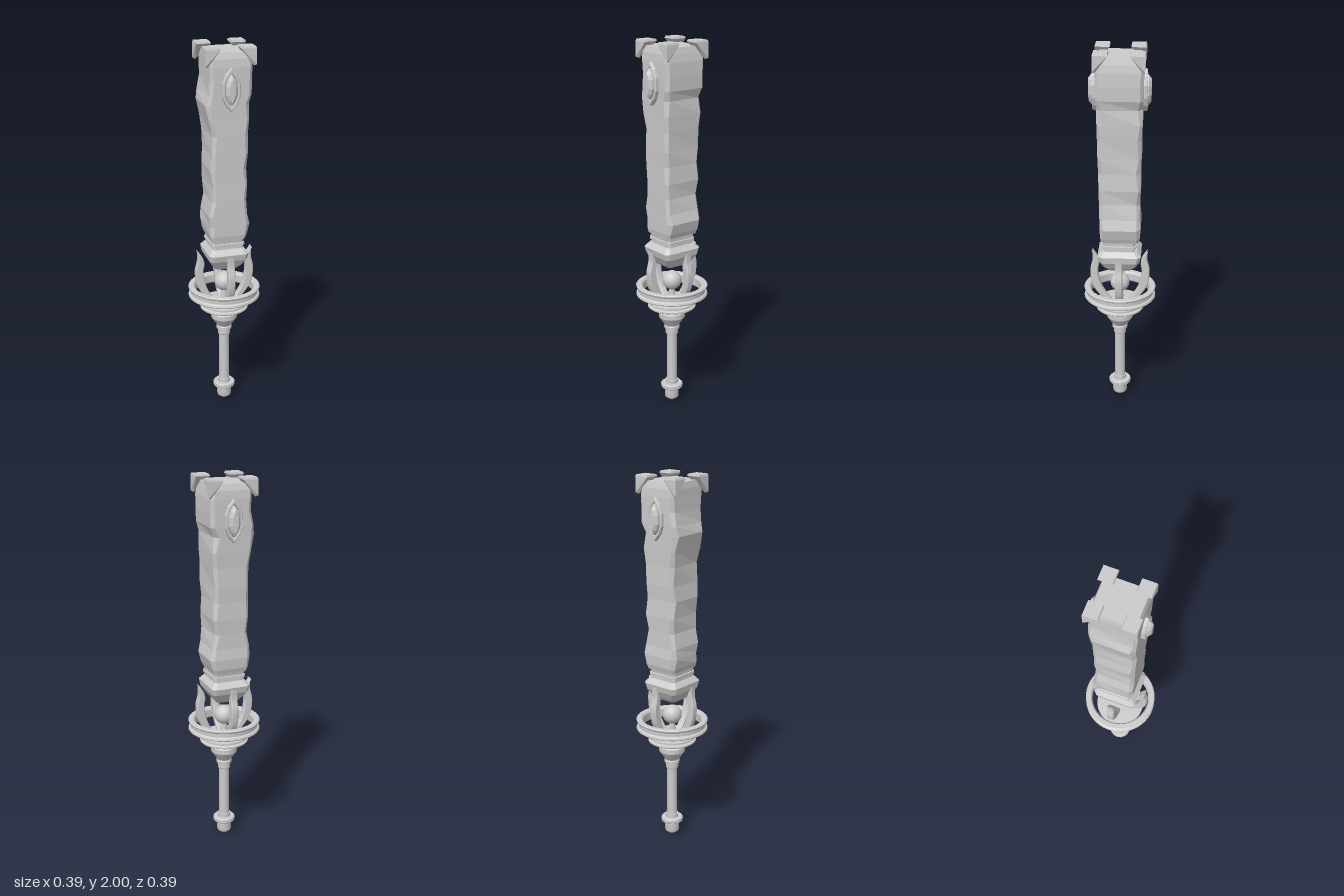
import * as THREE from 'three';
import { toCreasedNormals } from 'three/addons/utils/BufferGeometryUtils.js';
import { ConvexGeometry } from 'three/addons/geometries/ConvexGeometry.js';

const smooth = new THREE.MeshStandardMaterial({ color: 0xcccccc });
const flat = new THREE.MeshStandardMaterial({ color: 0xcccccc, flatShading: true });

function add(parent, name, geometry, material = flat) {
  const mesh = new THREE.Mesh(geometry, material);
  mesh.name = name;
  parent.add(mesh);
  return mesh;
}

// Turned part from [radius, y] pairs, listed from bottom to top
function turned(profile, sides = 32) {
  const points = profile.map(([r, y]) => new THREE.Vector2(r, y));
  return toCreasedNormals(new THREE.LatheGeometry(points, sides), 0.5);
}

// Chamfered rectangle at height y; each corner is [x, z], in order ++, -+, --, +-
function section(y, corners, c) {
  const [a, b, d, e] = corners;
  return [
    [a[0], y, a[1] - c], [a[0] - c, y, a[1]],
    [b[0] + c, y, b[1]], [b[0], y, b[1] - c],
    [d[0], y, d[1] + c], [d[0] + c, y, d[1]],
    [e[0] - c, y, e[1]], [e[0], y, e[1] + c],
  ];
}

const rect = (y, hx, hz, c) => section(y, [[hx, hz], [-hx, hz], [-hx, -hz], [hx, -hz]], c);

// Solid skin over a stack of cross-sections, capped at both ends
function loft(sections) {
  const pos = [];
  const tri = (...pts) => pts.forEach(p => pos.push(...p));
  const n = sections[0].length;
  for (let i = 0; i < sections.length - 1; i++) {
    const lo = sections[i], hi = sections[i + 1];
    for (let j = 0; j < n; j++) {
      const k = (j + 1) % n;
      tri(lo[j], hi[j], hi[k]);
      tri(lo[j], hi[k], lo[k]);
    }
  }
  const bottom = sections[0], top = sections[sections.length - 1];
  for (let j = 1; j < n - 1; j++) {
    tri(bottom[0], bottom[j], bottom[j + 1]);
    tri(top[0], top[j + 1], top[j]);
  }
  const g = new THREE.BufferGeometry();
  g.setAttribute('position', new THREE.Float32BufferAttribute(pos, 3));
  g.computeVertexNormals();
  return g;
}

// Pointed almond outline
function almond(w, h) {
  const pts = [[0, h], [-w * 0.65, h * 0.68], [-w, h * 0.3], [-w, -h * 0.3], [-w * 0.65, -h * 0.68],
    [0, -h], [w * 0.65, -h * 0.68], [w, -h * 0.3], [w, h * 0.3], [w * 0.65, h * 0.68]];
  return new THREE.Shape(pts.map(p => new THREE.Vector2(...p)));
}

export function createModel() {
  const model = new THREE.Group();
  model.name = 'weapon';

  // Handle with pommel, collars and flared neck
  add(model, 'pommel', turned([[0, 0], [0.015, 0.002], [0.036, 0.018], [0.039, 0.025], [0.039, 0.08]], 16), smooth);
  add(model, 'pommelCollar', turned([[0, 0.078], [0.055, 0.078], [0.06, 0.083], [0.06, 0.1], [0.055, 0.105],
    [0.034, 0.105], [0.034, 0.126], [0, 0.128]], 16), smooth);
  add(model, 'grip', turned([[0.028, 0.12], [0.028, 0.4], [0.034, 0.405], [0.034, 0.44]], 16), smooth);
  add(model, 'neck', turned([[0, 0.435], [0.042, 0.436], [0.042, 0.45], [0.038, 0.455], [0.072, 0.505],
    [0.072, 0.53], [0.05, 0.56], [0.05, 0.572]], 16), smooth);

  // Grooved disc and floating ring
  add(model, 'guardDisc', turned([[0, 0.564], [0.125, 0.564], [0.13, 0.568], [0.13, 0.575], [0.116, 0.58],
    [0.116, 0.588], [0.13, 0.591], [0.13, 0.597], [0.1, 0.6], [0, 0.602]], 40), smooth);
  add(model, 'guardRing', turned([[0.165, 0.636], [0.19, 0.636], [0.193, 0.641], [0.19, 0.65], [0.181, 0.656],
    [0.181, 0.676], [0.19, 0.682], [0.193, 0.69], [0.188, 0.695], [0.165, 0.695], [0.157, 0.685],
    [0.157, 0.646], [0.165, 0.636]], 48), smooth);

  // Orb held between four curved prongs
  add(model, 'orb', new THREE.SphereGeometry(0.052, 24, 16), smooth).position.y = 0.715;
  add(model, 'orbStem', new THREE.CylinderGeometry(0.014, 0.022, 0.08, 12), smooth).position.y = 0.635;

  const prong = new THREE.Shape();
  prong.moveTo(0.03, 0.59);
  prong.lineTo(0.06, 0.59);
  prong.splineThru([[0.115, 0.645], [0.15, 0.705], [0.16, 0.785], [0.147, 0.85], [0.148, 0.907]]
    .map(p => new THREE.Vector2(...p)));
  prong.splineThru([[0.122, 0.868], [0.112, 0.83], [0.118, 0.78], [0.105, 0.71], [0.08, 0.655], [0.03, 0.59]]
    .map(p => new THREE.Vector2(...p)));
  const prongGeo = new THREE.ExtrudeGeometry(prong, {
    depth: 0.026, curveSegments: 12, bevelThickness: 0.006, bevelSize: 0.005, bevelOffset: -0.005, bevelSegments: 1,
  });
  prongGeo.translate(0, 0, -0.013);
  for (let i = 0; i < 4; i++) {
    add(model, 'prong' + (i + 1), prongGeo).rotation.y = i * Math.PI / 2;
  }

  // Square socket and stepped collar under the blade
  add(model, 'socket', loft([
    rect(0.812, 0.062, 0.065, 0.015), rect(0.83, 0.078, 0.082, 0.015), rect(0.87, 0.102, 0.106, 0.018),
    rect(0.905, 0.107, 0.115, 0.018), rect(0.932, 0.086, 0.092, 0.015),
  ]));
  add(model, 'collar', loft([
    rect(0.93, 0.083, 0.083, 0.012), rect(0.945, 0.083, 0.083, 0.012), rect(0.947, 0.089, 0.089, 0.012),
    rect(0.962, 0.089, 0.089, 0.012), rect(0.964, 0.084, 0.084, 0.012), rect(0.995, 0.086, 0.09, 0.012),
  ]));

  // Blade with battered edges: [y, left x, right x, front z, back z, chamfer]
  const levels = [
    [0.985, 0.09, 0.09, 0.095, 0.1, 0.012], [1.01, 0.1, 0.098, 0.1, 0.108, 0.016],
    [1.065, 0.115, 0.108, 0.102, 0.112, 0.022], [1.12, 0.1, 0.104, 0.103, 0.106, 0.014],
    [1.2, 0.094, 0.089, 0.105, 0.106, 0.018], [1.28, 0.097, 0.094, 0.106, 0.11, 0.013],
    [1.37, 0.093, 0.099, 0.108, 0.108, 0.022], [1.45, 0.098, 0.091, 0.11, 0.113, 0.014],
    [1.55, 0.098, 0.096, 0.112, 0.112, 0.019], [1.63, 0.102, 0.105, 0.113, 0.116, 0.013],
    [1.71, 0.103, 0.124, 0.115, 0.118, 0.024], [1.76, 0.113, 0.116, 0.117, 0.12, 0.015],
    [1.83, 0.116, 0.103, 0.119, 0.121, 0.019], [1.9, 0.114, 0.103, 0.12, 0.121, 0.014],
    [1.94, 0.108, 0.104, 0.117, 0.118, 0.014], [1.972, 0.1, 0.1, 0.108, 0.108, 0.01],
  ];
  add(model, 'blade', loft(levels.map(([y, l, r, f, b, c], i) => {
    const chip = i > 1 && i < 13 ? 0.009 : 0;
    const cut = (j) => (i + j) % 3 === 0 ? chip : 0;
    return section(y, [[l, f], [-r + cut(1), f], [-r, -b], [l - cut(2), -b]], c);
  })));

  // Pointed corner caps on the blade top
  for (const sx of [1, -1]) for (const sz of [1, -1]) {
    const pts = [];
    for (const x of [0.053, 0.13]) for (const z of [0.053, 0.13]) {
      pts.push(new THREE.Vector3(sx * x, 1.99, sz * z));
      pts.push(new THREE.Vector3(sx * (x + (x < 0.1 ? 0.003 : -0.003)), 2, sz * (z + (z < 0.1 ? 0.003 : -0.003))));
    }
    pts.push(new THREE.Vector3(sx * 0.13, 1.91, sz * 0.13), new THREE.Vector3(sx * 0.118, 1.903, sz * 0.118));
    add(model, (sz > 0 ? 'front' : 'back') + (sx > 0 ? 'Left' : 'Right') + 'CornerCap', new ConvexGeometry(pts));
  }

  // Framed gems on front and back
  const frameShape = almond(0.046, 0.11);
  frameShape.holes.push(almond(0.032, 0.084));
  const frameGeo = new THREE.ExtrudeGeometry(frameShape, {
    depth: 0.025, bevelThickness: 0.006, bevelSize: 0.004, bevelOffset: -0.004, bevelSegments: 1,
  });
  const gemGeo = new THREE.ExtrudeGeometry(almond(0.029, 0.078), {
    depth: 0.032, bevelThickness: 0.014, bevelSize: 0.014, bevelOffset: -0.014, bevelSegments: 1,
  });
  for (const side of ['front', 'back']) {
    const ornament = new THREE.Group();
    ornament.name = side + 'Ornament';
    add(ornament, 'gemFrame', frameGeo).position.z = 0.108;
    add(ornament, 'gem', gemGeo).position.z = 0.112;
    ornament.position.y = 1.79;
    ornament.rotation.y = side === 'front' ? 0 : Math.PI;
    model.add(ornament);
  }

  return model;
}
